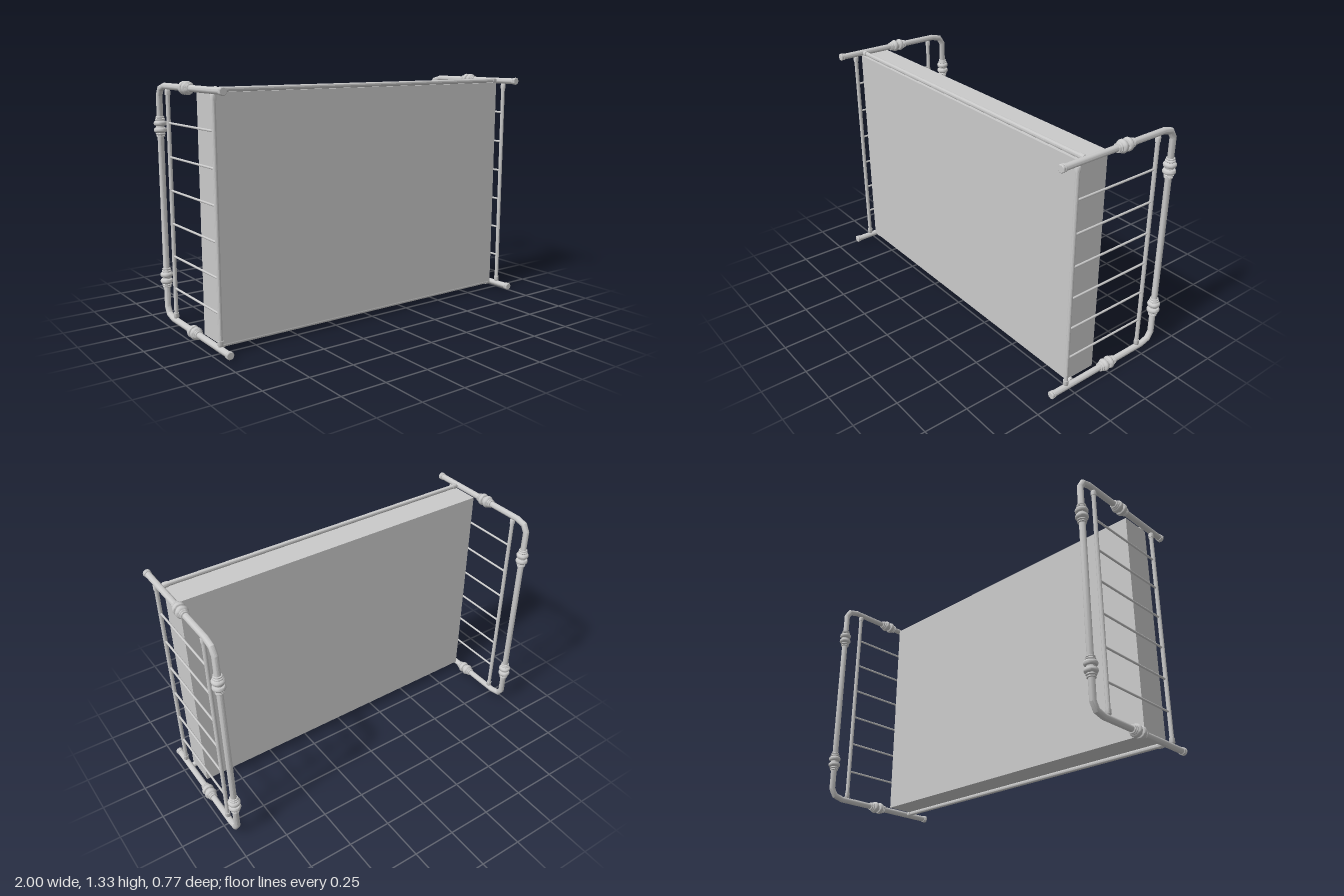
import * as THREE from 'three';
import { toCreasedNormals } from 'three/addons/utils/BufferGeometryUtils.js';

const steel = new THREE.MeshStandardMaterial({ color: 0xcacaca });
steel.name = 'grey';

const LOW = 0.0355, HIGH = 1.3005, MID = (LOW + HIGH) / 2;
const SIDE_X = 0.965, BACK_Z = -0.351;

function part(name, geometry, parent) {
  const mesh = new THREE.Mesh(geometry, steel);
  mesh.name = name;
  parent.add(mesh);
  return mesh;
}

// Turned solid from [radius, height] pairs, smooth around and crisp along the profile
function turned(points, sides = 16) {
  const profile = points.map(([r, h]) => new THREE.Vector2(r, h));
  return toCreasedNormals(new THREE.LatheGeometry(profile, sides), 0.6);
}

// Round bar along a [z, y] path with mitred joints
function bentPipe(path, radius, sides = 16) {
  const pts = path.map(([z, y]) => new THREE.Vector2(z, y));
  const pos = [], index = [];
  pts.forEach((p, i) => {
    const a = p.clone().sub(pts[Math.max(i - 1, 0)]).normalize();
    const b = pts[Math.min(i + 1, pts.length - 1)].clone().sub(p).normalize();
    if (i === 0) a.copy(b);
    if (i === pts.length - 1) b.copy(a);
    const t = a.clone().add(b).normalize();
    const stretch = radius / t.dot(a);
    for (let j = 0; j < sides; j++) {
      const q = (j / sides) * Math.PI * 2;
      const s = Math.sin(q) * stretch;
      pos.push(Math.cos(q) * radius, p.y + t.x * s, p.x - t.y * s);
      if (i > 0) {
        const k = (j + 1) % sides, c = i * sides, d = c - sides;
        index.push(d + j, d + k, c + j, d + k, c + k, c + j);
      }
    }
  });
  const g = new THREE.BufferGeometry();
  g.setAttribute('position', new THREE.Float32BufferAttribute(pos, 3));
  g.setIndex(index);
  return toCreasedNormals(g, 0.6);
}

// Double-ring collar, symmetric about its middle
const half = [[0.019, 0.055], [0.023, 0.053], [0.023, 0.047], [0.02, 0.045], [0.026, 0.041],
  [0.026, 0.036], [0.022, 0.033], [0.03, 0.029], [0.0335, 0.024], [0.0345, 0.018],
  [0.0335, 0.012], [0.03, 0.007], [0.022, 0.004]];
const collarProfile = [[0.016, -0.055], ...half.map(([r, h]) => [r, -h]),
  ...half.slice().reverse(), [0.016, 0.055]];

// Bar with a thicker sleeve at each end
function sleevedBar(length, r, sleeve, sleeveLength) {
  const h = length / 2, s = h - sleeveLength;
  return turned([[0, -h], [sleeve * 0.8, -h], [sleeve, -h + 0.006], [sleeve, -s], [r, -s],
    [r, s], [sleeve, s], [sleeve, h - 0.006], [sleeve * 0.8, h], [0, h]], 12);
}

function endFrame(name) {
  const frame = new THREE.Group();
  frame.name = name;

  // U-shaped outer tube
  const upper = [[0.38, HIGH], [-0.275, HIGH], [-0.328, HIGH - 0.014], [BACK_Z, HIGH - 0.051]];
  const lower = upper.map(([z, y]) => [z, 2 * MID - y]).reverse();
  part('outerTube', bentPipe([...upper, ...lower], 0.017), frame);

  // Collars and feet on the legs, collars on the top bar
  const collar = turned(collarProfile, 20);
  const foot = turned([[0.016, -0.012], [0.02, -0.011], [0.02, -0.004], [0.018, -0.002],
    [0.021, 0.002], [0.021, 0.009], [0.017, 0.012], [0, 0.012]]);
  for (const y of [LOW, HIGH]) {
    const c = part('legCollar', collar, frame);
    c.rotation.x = Math.PI / 2;
    c.position.set(0, y, -0.011);
    const f = part('foot', foot, frame);
    f.rotation.x = Math.PI / 2;
    f.position.set(0, y, 0.375);
  }
  for (const side of [-1, 1]) {
    part('topCollar', collar, frame).position.set(0, MID + side * 0.416, BACK_Z);
  }

  // Inner crossbars with end sleeves
  const bar = sleevedBar(HIGH - LOW - 0.03, 0.0112, 0.0145, 0.03);
  for (const z of [0.283, -0.24]) part('crossbar', bar, frame).position.set(0, MID, z);

  // Thin spindles
  const spindle = new THREE.CylinderGeometry(0.006, 0.006, 0.523, 10);
  for (let i = 0; i < 6; i++) {
    const s = part('spindle', spindle, frame);
    s.rotation.x = Math.PI / 2;
    s.position.set(0, MID - 0.003 + (i - 2.5) * 0.1785, 0.0215);
  }
  return frame;
}

export function createModel() {
  const bed = new THREE.Group();
  bed.name = 'bedOnItsSide';

  for (const side of [-1, 1]) {
    const frame = endFrame(side > 0 ? 'leftEndFrame' : 'rightEndFrame');
    frame.position.x = side * SIDE_X;
    bed.add(frame);
  }

  // Long side rails
  const rail = sleevedBar(2 * SIDE_X - 0.03, 0.0125, 0.0155, 0.03);
  for (const y of [LOW + 0.002, HIGH + 0.001]) {
    const r = part('sideRail', rail, bed);
    r.rotation.z = Math.PI / 2;
    r.position.set(0, y, 0.23);
  }

  // Mattress
  part('mattress', new THREE.BoxGeometry(1.885, 1.242, 0.182), bed).position.set(-0.0055, MID, 0.161);
  return bed;
}
